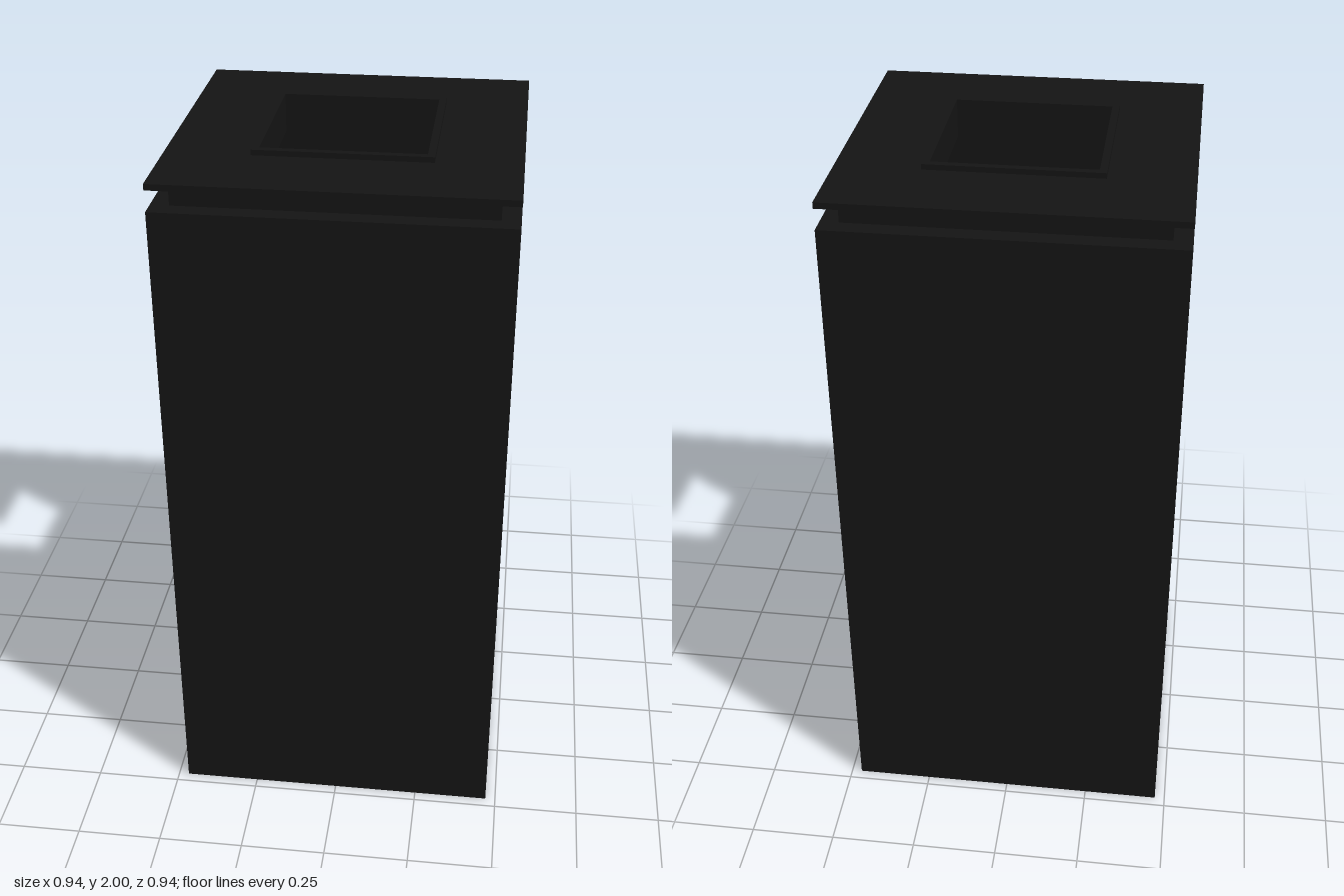
import * as THREE from 'three';

const black = new THREE.MeshStandardMaterial({ color: 0x141414 });
const grey = new THREE.MeshStandardMaterial({ color: 0xcccccc });

function box(name, w, h, d, x, y, z, mat = black) {
  const mesh = new THREE.Mesh(new THREE.BoxGeometry(w, h, d), mat);
  mesh.name = name;
  mesh.position.set(x, y, z);
  return mesh;
}

// Rectangular ring in the XY plane, extruded along +z and centred on the origin
function frameGeometry(w, h, holeW, holeH, depth) {
  const rect = (T, a, b) => {
    const p = new T();
    p.moveTo(-a / 2, -b / 2);
    p.lineTo(a / 2, -b / 2);
    p.lineTo(a / 2, b / 2);
    p.lineTo(-a / 2, b / 2);
    p.closePath();
    return p;
  };
  const shape = rect(THREE.Shape, w, h);
  shape.holes.push(rect(THREE.Path, holeW, holeH));
  return new THREE.ExtrudeGeometry(shape, { depth, bevelEnabled: false }).translate(0, 0, -depth / 2);
}

// Horizontal square ring between two heights
function slab(name, size, hole, y0, y1) {
  const mesh = new THREE.Mesh(frameGeometry(size, size, hole, hole, y1 - y0).rotateX(-Math.PI / 2), black);
  mesh.name = name;
  mesh.position.y = (y0 + y1) / 2;
  return mesh;
}

// Upright ring facing sideways
function sideFrame(name, w, h, holeW, holeH, depth, x, y, mat) {
  const mesh = new THREE.Mesh(frameGeometry(w, h, holeW, holeH, depth).rotateY(Math.PI / 2), mat);
  mesh.name = name;
  mesh.position.set(x, y, 0);
  return mesh;
}

export function createModel() {
  const model = new THREE.Group();
  model.name = 'litterBin';

  // Outer housing: floor, solid front and back
  model.add(box('floor', 0.88, 0.06, 0.88, 0, 0.03, 0));
  for (const s of [1, -1]) {
    model.add(box(s > 0 ? 'frontWall' : 'backWall', 0.94, 1.91, 0.03, 0, 0.955, s * 0.455));
  }

  // Open sides: frame, recessed trim, light upper panel, dark door
  for (const s of [1, -1]) {
    const side = new THREE.Group();
    side.name = s > 0 ? 'leftSide' : 'rightSide';
    side.add(sideFrame('sideFrame', 0.88, 1.91, 0.82, 1.79, 0.03, s * 0.455, 0.955, black));
    side.add(sideFrame('trim', 0.825, 1.795, 0.788, 1.76, 0.025, s * 0.4275, 0.955, grey));
    side.add(box('upperPanel', 0.015, 0.305, 0.788, s * 0.43, 1.6825, 0, grey));
    side.add(box('door', 0.015, 1.14, 0.776, s * 0.43, 0.653, 0));
    model.add(side);
  }

  // Top: roof, set-back neck, overhanging lid and raised rim around the hole
  model.add(slab('roof', 0.88, 0.44, 1.89, 1.91));
  model.add(slab('neck', 0.84, 0.44, 1.91, 1.968));
  model.add(slab('lid', 0.94, 0.44, 1.968, 1.985));
  model.add(slab('holeRim', 0.48, 0.44, 1.985, 2.0));

  // Removable inner bin, open at the top
  const bin = new THREE.Group();
  bin.name = 'innerBin';
  bin.add(slab('binWalls', 0.81, 0.77, 0.08, 1.17));
  bin.add(box('binBottom', 0.77, 0.02, 0.77, 0, 0.09, 0));
  model.add(bin);

  return model;
}
